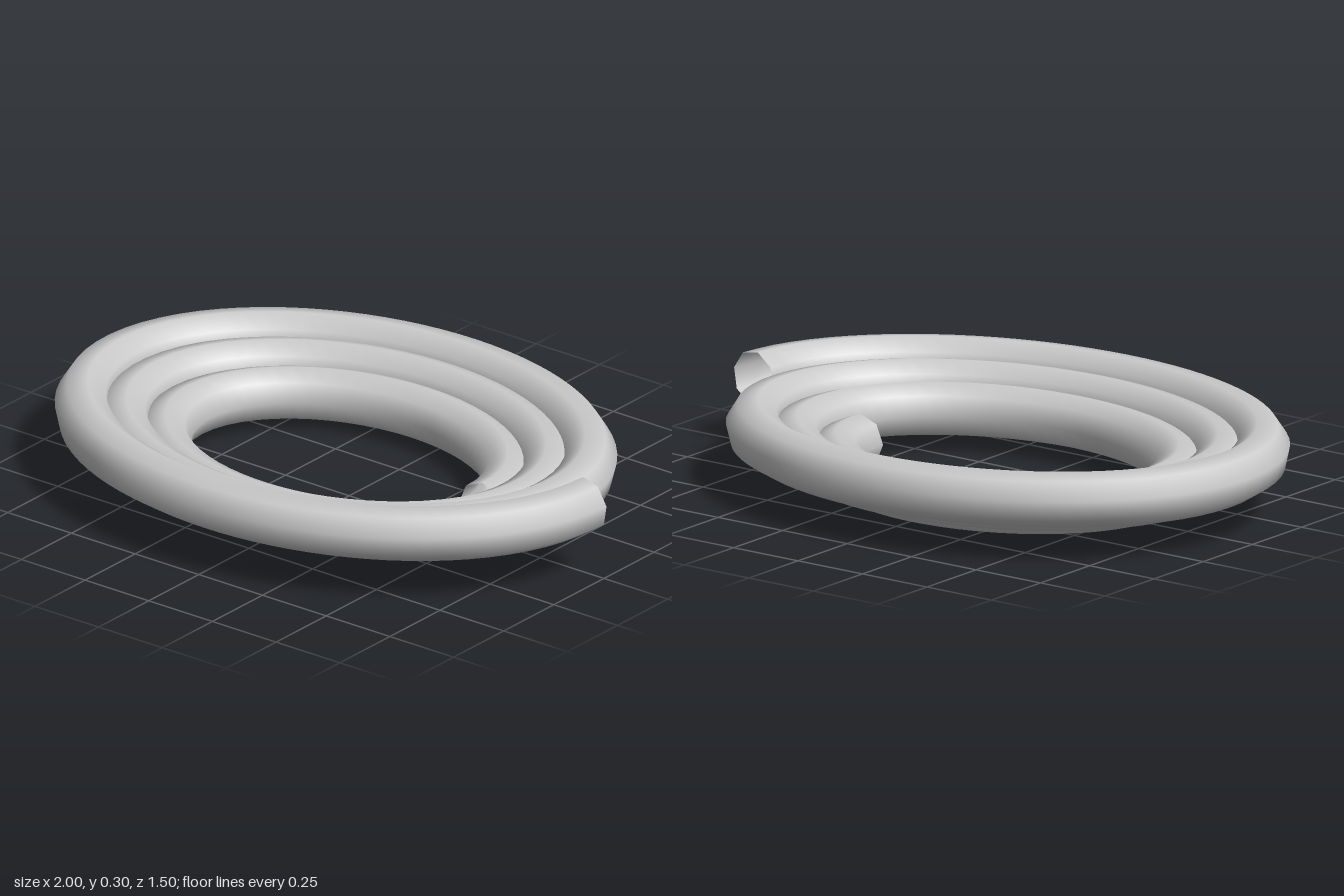
import * as THREE from 'three';

export function createModel() {
  const group = new THREE.Group();
  group.name = 'coil';

  const turns = 3, perTurn = 40, tubeRadius = 0.087;
  const innerRadius = 0.535, outerRadius = 0.947, depthRatio = 0.755;
  const rise = 0.131;

  // Elliptical spiral path: widens and climbs from the inner end to the outer end
  const points = [];
  const count = turns * perTurn;
  for (let i = 0; i <= count; i++) {
    const t = i / count;
    const angle = t * turns * Math.PI * 2;
    const radius = THREE.MathUtils.lerp(innerRadius, outerRadius, t);
    points.push(new THREE.Vector3(
      -0.035 + radius * Math.cos(angle),
      tubeRadius + rise * t,
      -0.029 - radius * depthRatio * Math.sin(angle)
    ));
  }

  // Open-ended eight-sided tube
  const path = new THREE.CatmullRomCurve3(points);
  const tube = new THREE.Mesh(
    new THREE.TubeGeometry(path, 200, tubeRadius, 8, false),
    new THREE.MeshStandardMaterial({ color: 0xcccccc, side: THREE.DoubleSide })
  );
  tube.name = 'spiralTube';
  group.add(tube);
  return group;
}
